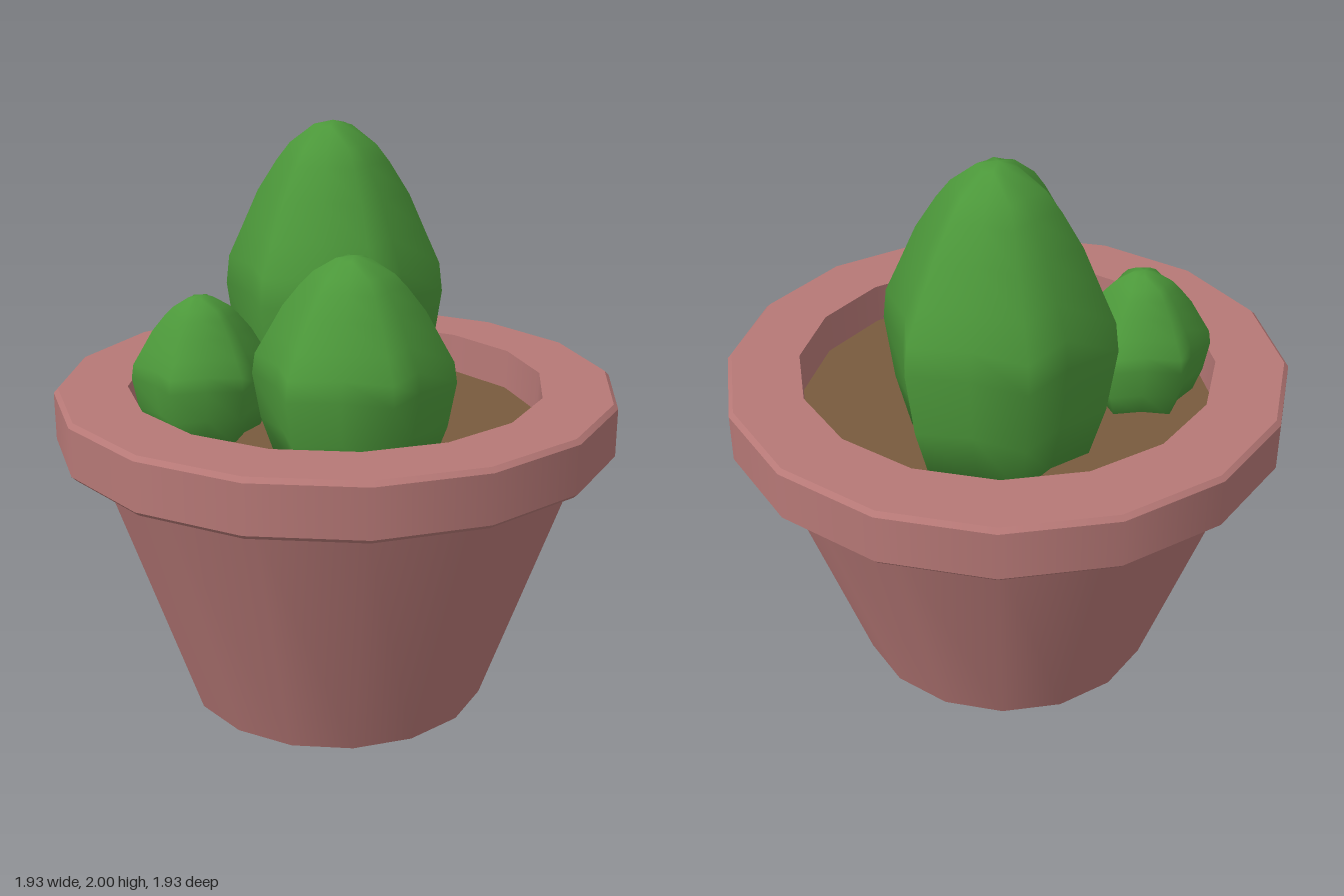
import * as THREE from 'three';
import { mergeGeometries, mergeVertices } from 'three/addons/utils/BufferGeometryUtils.js';

const SIDES = 16;
const SOIL_Y = 1.01;

// Lathe that is smooth around the axis but creased at every profile point
function creasedLathe(profile) {
  const bands = [];
  for (let i = 0; i < profile.length - 1; i++) {
    const pair = [profile[i], profile[i + 1]].map(([r, y]) => new THREE.Vector2(r, y));
    bands.push(new THREE.LatheGeometry(pair, SIDES));
  }
  return mergeGeometries(bands);
}

// Six-ribbed body of unit radius and unit height, ribs starting at +x
function ribbedBody() {
  const profile = [
    [0, 0], [0.78, 0], [0.92, 0.19], [1, 0.41], [0.97, 0.51], [0.84, 0.62],
    [0.69, 0.75], [0.51, 0.86], [0.39, 0.92], [0.17, 0.985], [0, 1],
  ].map(([r, y]) => new THREE.Vector2(r, y));
  let geometry = new THREE.LatheGeometry(profile, 12);
  const p = geometry.attributes.position;
  for (let i = 0; i < p.count; i++) {
    const x = p.getX(i), z = p.getZ(i);
    const k = 0.895 + 0.105 * Math.cos(6 * Math.atan2(z, x));
    p.setX(i, x * k);
    p.setZ(i, z * k);
  }
  geometry.deleteAttribute('uv');
  geometry.deleteAttribute('normal');
  geometry = mergeVertices(geometry, 1e-4);
  return geometry;
}

export function createModel() {
  const model = new THREE.Group();
  model.name = 'pottedCacti';

  const material = (name, color) => {
    const m = new THREE.MeshStandardMaterial({ color });
    m.name = name;
    return m;
  };
  const clay = material('clay', 0xb67876);
  const earth = material('earth', 0x785a3e);
  const green = material('cactusGreen', 0x4c983a);

  const add = (name, geometry, mat) => {
    const mesh = new THREE.Mesh(geometry, mat);
    mesh.name = name;
    model.add(mesh);
    return mesh;
  };

  // Tapered pot body with a small bevel at the foot
  add('potBody', creasedLathe([[0, 0], [0.5, 0], [0.535, 0.015], [0.86, 0.96]]), clay);

  // Thick overhanging rim, bevelled outside, with the inner wall down to the soil
  add('potRim', creasedLathe([
    [0.84, 0.955], [0.95, 0.955], [0.965, 0.97], [0.965, 1.135],
    [0.95, 1.15], [0.715, 1.15], [0.71, SOIL_Y - 0.01],
  ]), clay);

  // Soil disc
  add('soil', creasedLathe([[0.715, SOIL_Y], [0, SOIL_Y]]), earth);

  // Three cacti: position, rib radius, height and turn
  const cacti = [
    ['tallCactus', 0.21, -0.185, 0.39, 2.0, 0],
    ['mediumCactus', -0.26, 0.28, 0.33, 1.675, 0],
    ['smallCactus', -0.355, -0.293, 0.24, 1.475, 0.29],
  ];
  for (const [name, x, z, radius, top, turn] of cacti) {
    const base = SOIL_Y - 0.01;
    const geometry = ribbedBody().scale(radius, top - base, radius);
    geometry.computeVertexNormals();
    const cactus = add(name, geometry, green);
    cactus.position.set(x, base, z);
    cactus.rotation.y = turn;
  }

  return model;
}
